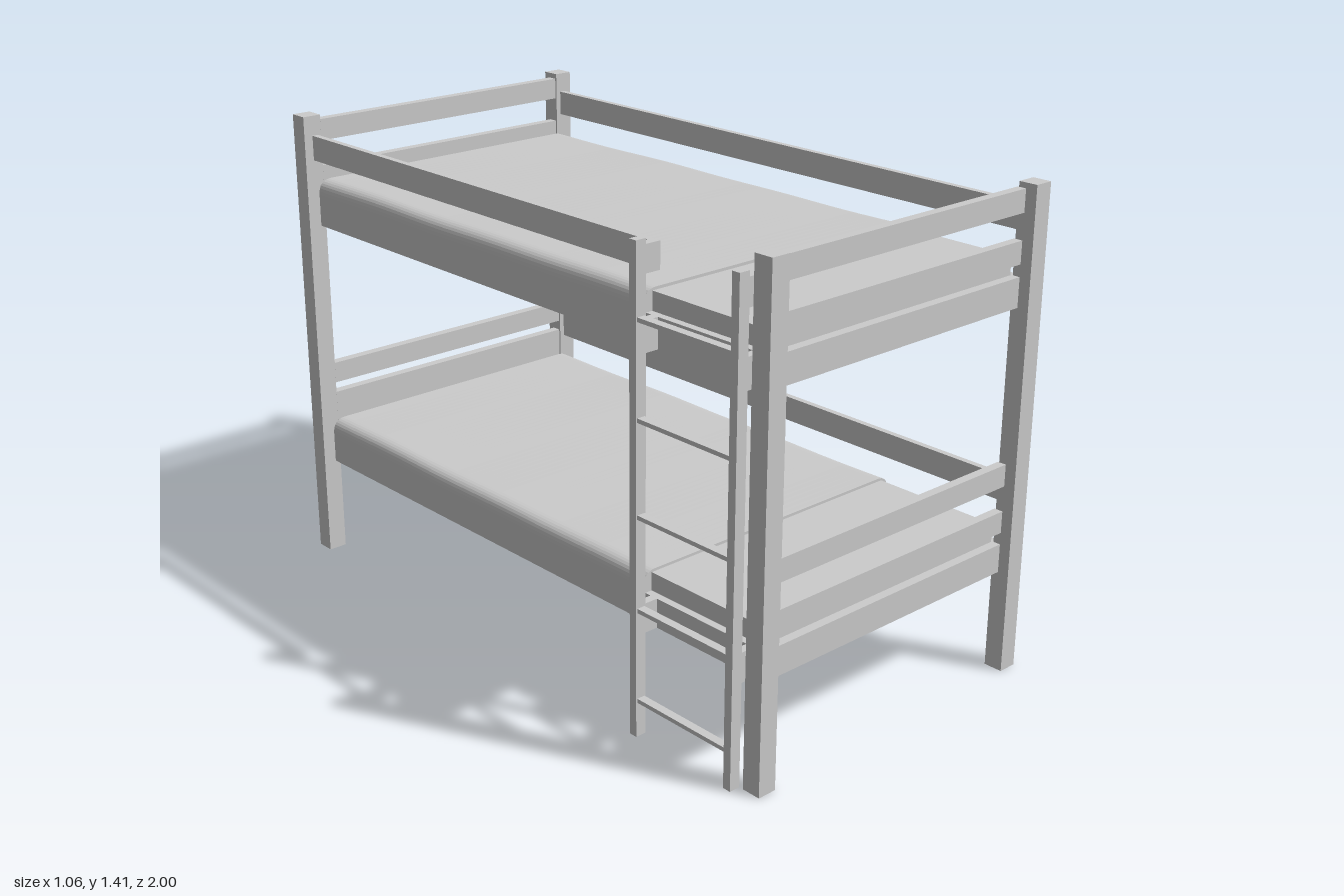
import * as THREE from 'three';

const material = new THREE.MeshStandardMaterial({ color: 0xcccccc, roughness: 0.8 });

// Box given by its limits on each axis
function box(parent, name, [x0, x1], [y0, y1], [z0, z1]) {
  const mesh = new THREE.Mesh(new THREE.BoxGeometry(x1 - x0, y1 - y0, z1 - z0), material);
  mesh.position.set((x0 + x1) / 2, (y0 + y1) / 2, (z0 + z1) / 2);
  mesh.name = name;
  parent.add(mesh);
  return mesh;
}

// Blanket draped over the sides of the mattress, with soft shoulders and slight folds
function makeBlanket() {
  const x0 = -0.468, x1 = 0.496, top = 0.146, bottom = 0.057, r = 0.045;
  const shape = new THREE.Shape();
  shape.moveTo(x0, bottom);
  shape.lineTo(x1, bottom);
  shape.lineTo(x1, top - r);
  shape.quadraticCurveTo(x1, top, x1 - r, top);
  shape.lineTo(x0 + r, top);
  shape.quadraticCurveTo(x0, top, x0, top - r);
  const geometry = new THREE.ExtrudeGeometry(shape, {
    depth: 1.46, steps: 60, curveSegments: 8, bevelEnabled: false,
  });
  geometry.translate(0, 0, -0.93);
  const p = geometry.attributes.position;
  for (let i = 0; i < p.count; i++) {
    const z = p.getZ(i);
    const fold = 0.002 * Math.sin(z * 9 + p.getX(i) * 4) * Math.sin(z * 3.1);
    p.setY(i, p.getY(i) + fold);
  }
  geometry.computeVertexNormals();
  const mesh = new THREE.Mesh(geometry, material);
  mesh.name = 'blanket';
  return mesh;
}

// One bunk, with y measured from the underside of its frame
function makeBunk(name, y, leftGuardEnd, backBoardTop) {
  const bunk = new THREE.Group();
  bunk.name = name;
  bunk.position.y = y;
  const inner = [-0.44, 0.47];
  const length = [-0.945, 0.945];

  // Bed frame and base
  box(bunk, 'rightSideRail', [0.468, 0.49], [0, 0.085], length);
  box(bunk, 'leftSideRail', [-0.46, -0.438], [0, 0.085], length);
  box(bunk, 'base', [-0.44, 0.47], [0.01, 0.025], [-0.95, 0.95]);
  box(bunk, 'mattress', [-0.438, 0.468], [0.025, 0.138], [-0.938, 0.938]);
  bunk.add(makeBlanket());

  // Boards across both ends
  for (const [end, z, boardTop] of [['front', [0.94, 0.967], 0.185], ['back', [-0.975, -0.946], backBoardTop]]) {
    box(bunk, end + 'FrameBoard', inner, [0, 0.085], z);
    box(bunk, end + 'MiddleBoard', inner, [0.12, boardTop], z);
    box(bunk, end + 'TopBoard', inner, [0.26, 0.325], z);
  }

  // Guard rails along the sides
  box(bunk, 'rightGuardRail', [0.488, 0.507], [0.205, 0.28], length);
  if (leftGuardEnd !== null) {
    box(bunk, 'leftGuardRail', [-0.472, -0.453], [0.205, 0.28], [-0.945, leftGuardEnd]);
  }
  return bunk;
}

function makeLadder() {
  const ladder = new THREE.Group();
  ladder.name = 'ladder';
  for (const [side, z] of [['back', [0.55, 0.575]], ['front', [0.905, 0.93]]]) {
    box(ladder, side + 'LadderUpright', [-0.533, -0.5], [0, 1.37], z);
    // Blocks joining the ladder to the bed
    for (const y of [[0.3, 0.385], [1.075, 1.16], [1.28, 1.355]]) {
      box(ladder, side + 'LadderBlock', [-0.5, -0.459], y, z);
    }
  }
  for (let i = 0; i < 5; i++) {
    const y = 0.108 + i * 0.265;
    box(ladder, 'rung', [-0.529, -0.504], [y - 0.006, y + 0.006], [0.575, 0.905]);
  }
  return ladder;
}

export function createModel() {
  const bed = new THREE.Group();
  bed.name = 'bunkBed';

  // Corner posts
  for (const x of [[-0.5, -0.442], [0.472, 0.53]]) {
    for (const z of [[-1, -0.943], [0.943, 1]]) {
      box(bed, 'cornerPost', x, [0, 1.415], z);
    }
  }

  bed.add(makeBunk('lowerBunk', 0.3, null, 0.228));
  bed.add(makeBunk('upperBunk', 1.075, 0.575, 0.185));
  bed.add(makeLadder());
  return bed;
}
